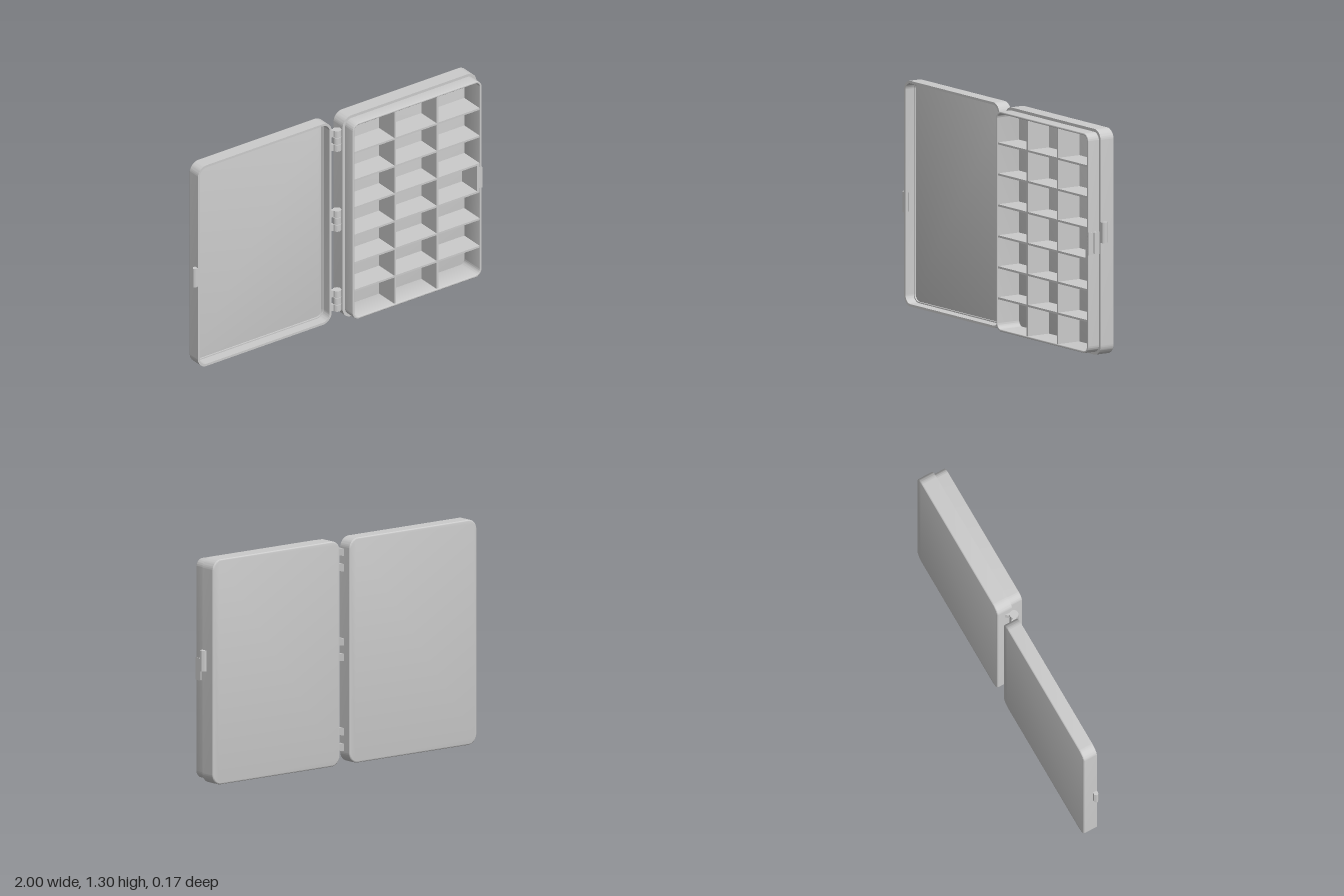
import * as THREE from 'three';
import { toCreasedNormals } from 'three/addons/utils/BufferGeometryUtils.js';

const mat = new THREE.MeshStandardMaterial({ color: 0xcccccc });
const H = 1.305, X0 = 0.035, X1 = 0.975, BACK = -0.085, BEVEL = 0.008;

// Rounded rectangle of one half of the case, inset by a margin
function outline(Type, m, r) {
  const a = X0 + m, b = X1 - m, c = m, d = H - m, s = new Type();
  s.moveTo(a + r, c);
  s.lineTo(b - r, c); s.absarc(b - r, c + r, r, -Math.PI / 2, 0);
  s.lineTo(b, d - r); s.absarc(b - r, d - r, r, 0, Math.PI / 2);
  s.lineTo(a + r, d); s.absarc(a + r, d - r, r, Math.PI / 2, Math.PI);
  s.lineTo(a, c + r); s.absarc(a + r, c + r, r, Math.PI, Math.PI * 1.5);
  return s;
}

function add(parent, name, geo) {
  const mesh = new THREE.Mesh(geo, mat);
  mesh.name = name;
  parent.add(mesh);
  return mesh;
}

// Plate or ring between two depths, with optional rounded edges
function slab(parent, name, z0, z1, outer, inner, bevel = 0) {
  const shape = outline(THREE.Shape, outer, 0.062 - outer);
  if (inner) shape.holes.push(outline(THREE.Path, inner, 0.062 - inner));
  const geo = new THREE.ExtrudeGeometry(shape, {
    depth: z1 - z0 - 2 * bevel, curveSegments: 10, bevelEnabled: bevel > 0,
    bevelSize: bevel, bevelThickness: bevel, bevelOffset: -bevel, bevelSegments: 3,
  });
  geo.translate(0, 0, z0 + bevel);
  return add(parent, name, toCreasedNormals(geo, 0.6));
}

// Box given by its limits
function box(parent, name, x0, x1, y0, y1, z0, z1) {
  const geo = new THREE.BoxGeometry(x1 - x0, y1 - y0, z1 - z0);
  geo.translate((x0 + x1) / 2, (y0 + y1) / 2, (z0 + z1) / 2);
  return add(parent, name, geo);
}

// Hinge knuckle with an arm reaching to the case on one side (side = -1 or 1)
function knuckle(parent, side, y, h) {
  const r = 0.025, s = new THREE.Shape();
  s.moveTo(0, r);
  s.absarc(0, 0, r, Math.PI / 2, Math.PI * 1.75, false);
  s.lineTo(0.04, -0.045);
  s.lineTo(0.04, -0.005);
  s.lineTo(r, 0);
  s.absarc(0, 0, r, 0, Math.PI / 2, false);
  const geo = new THREE.ExtrudeGeometry(s, { depth: h, bevelEnabled: false, curveSegments: 12 });
  geo.translate(0, 0, -h / 2);
  // the profile lies in x-z, extruded along y
  geo.rotateX(Math.PI / 2);
  if (side < 0) { geo.rotateZ(Math.PI); }
  const mesh = add(parent, 'hingeKnuckle', toCreasedNormals(geo, 0.6));
  mesh.position.set(0, y, 0.003);
}

export function createModel() {
  const model = new THREE.Group();

  // Lid: shallow open shell, built on +x and turned to the other side by shifting
  const lid = new THREE.Group();
  lid.name = 'lid';
  lid.position.x = -(X0 + X1);
  slab(lid, 'lidPanel', BACK, -0.067, 0, 0, BEVEL);
  slab(lid, 'lidWall', BACK + BEVEL, 0, 0, 0.014);
  slab(lid, 'lidInnerFillet', -0.075, -0.058, 0.008, 0.021);
  box(lid, 'lidCatch', 0.045, 0.054, 0.54, 0.65, -0.03, -0.022);
  model.add(lid);

  // Tray: outer shell with a raised inner rim
  const tray = new THREE.Group();
  tray.name = 'tray';
  slab(tray, 'trayPanel', BACK, -0.067, 0, 0, BEVEL);
  slab(tray, 'trayShell', BACK + BEVEL, 0.01, 0, 0.02);
  slab(tray, 'trayRim', BACK + BEVEL, 0.085, 0.017, 0.029, 0.003);

  // Dividers: three columns by seven rows
  const t = 0.006, left = 0.06, right = 0.95, low = 0.026, high = 1.279;
  for (const x of [0.353, 0.65]) box(tray, 'columnDivider', x - t, x + t, low, high, -0.07, 0.081);
  for (let i = 1; i < 7; i++) {
    const y = low + (high - low) * i / 7;
    box(tray, 'rowDivider', left, right, y - t, y + t, -0.07, 0.08);
  }
  model.add(tray);

  // Latch block and its ridge on the tray
  const latch = new THREE.Group();
  latch.name = 'latch';
  box(latch, 'latchBacking', 0.928, 0.948, 0.57, 0.74, -0.07, 0.082);
  box(latch, 'latchPlate', 0.94, 0.962, 0.588, 0.72, 0.005, 0.085);
  box(latch, 'latchRidge', 0.955, 0.97, 0.595, 0.715, 0.033, 0.05);
  model.add(latch);

  // Finger tabs on the outer edges
  const tab = (name, side, y, z1) => {
    const s = new THREE.Shape();
    s.moveTo(0.965, z1);
    s.lineTo(0.992, z1);
    s.lineTo(1, z1 - 0.008);
    s.lineTo(1, -0.015);
    s.lineTo(0.99, -0.026);
    s.lineTo(0.965, -0.026);
    const geo = new THREE.ExtrudeGeometry(s, { depth: 0.12, bevelEnabled: false });
    geo.translate(0, 0, -0.06);
    // map the profile's second axis to z, turning it over for the other side
    const p = geo.attributes.position;
    for (let i = 0; i < p.count; i++) {
      const x = p.getX(i), z = p.getY(i), d = p.getZ(i);
      p.setXYZ(i, side * x, -side * d, z);
    }
    if (side < 0) {
      // mirrored in x and in y: a half turn, so the winding is kept
    }
    geo.computeVertexNormals();
    add(model, name, geo).position.y = y;
  };
  tab('trayTab', 1, 0.715, 0.01);
  tab('lidTab', -1, 0.595, 0);

  // Hinges: outer knuckles belong to the lid, the middle one to the tray
  const hinges = new THREE.Group();
  hinges.name = 'hinges';
  for (const y of [0.135, 0.655, 1.175]) {
    knuckle(hinges, -1, y - 0.045, 0.042);
    knuckle(hinges, 1, y, 0.042);
    knuckle(hinges, -1, y + 0.045, 0.042);
    const pin = add(hinges, 'hingePin', new THREE.CylinderGeometry(0.01, 0.01, 0.13, 16));
    pin.position.set(0, y, 0.003);
  }
  model.add(hinges);
  return model;
}
